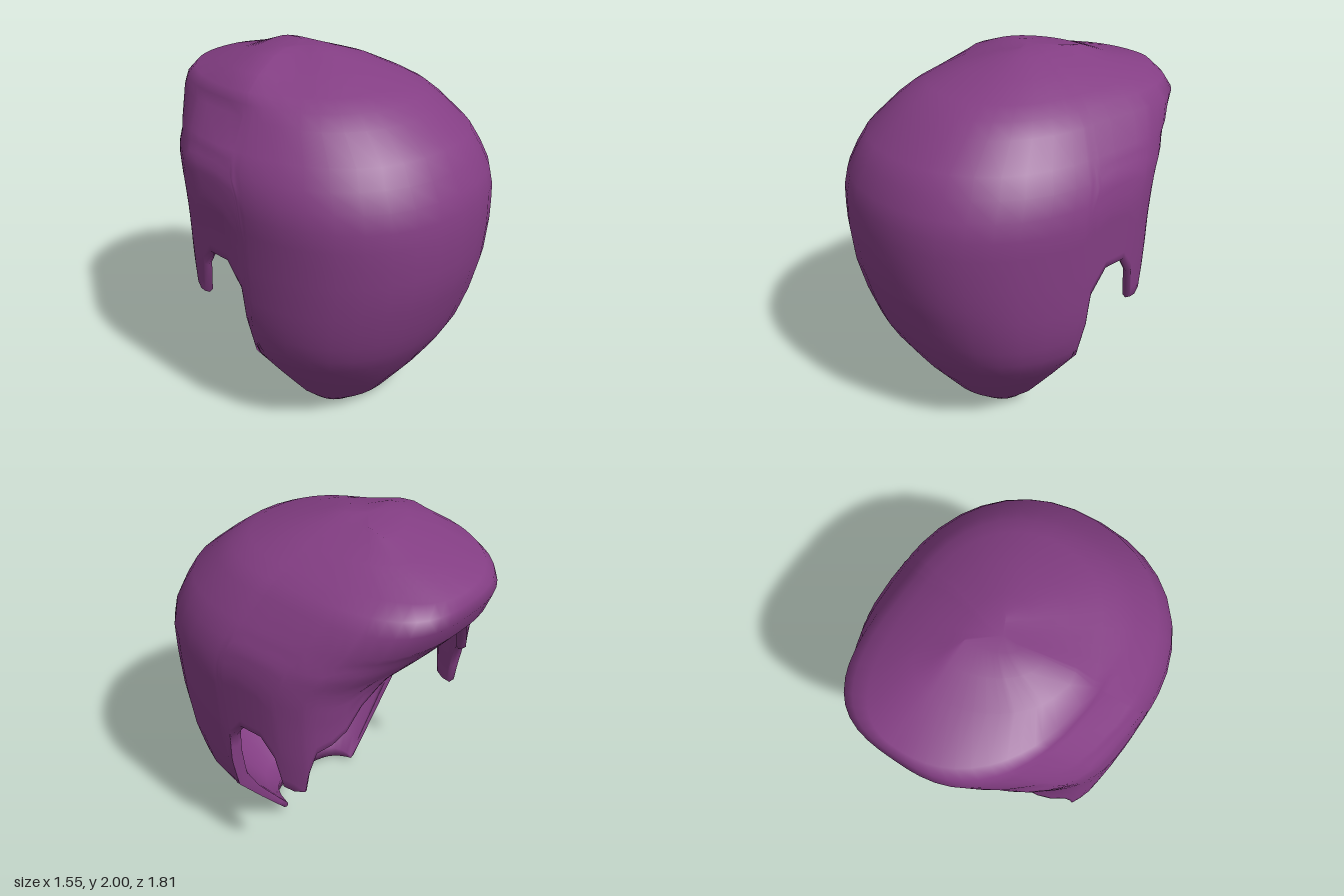
import * as THREE from 'three';
import { mergeVertices } from 'three/addons/utils/BufferGeometryUtils.js';

const { lerp, clamp, smoothstep } = THREE.MathUtils;

// Horizontal sections: y, width at +x, width at -x, back z, fringe z, z of widest point
const SECTIONS = [
  [2.0, 0.03, 0.17, -0.08, -0.3, -0.18],
  [1.985, 0.13, 0.29, 0.02, -0.43, -0.15],
  [1.93, 0.3, 0.45, 0.22, -0.59, -0.1],
  [1.86, 0.44, 0.535, 0.43, -0.87, -0.08],
  [1.81, 0.52, 0.56, 0.53, -0.895, -0.05],
  [1.75, 0.585, 0.575, 0.61, -0.905, -0.03],
  [1.62, 0.68, 0.7, 0.77, -0.845, 0.02],
  [1.5, 0.745, 0.76, 0.84, -0.745, 0.05],
  [1.4, 0.765, 0.77, 0.89, -0.655, 0.09],
  [1.33, 0.772, 0.775, 0.9, -0.625, 0.1],
  [1.16, 0.765, 0.765, 0.907, -0.61, 0.1],
  [0.93, 0.755, 0.755, 0.88, -0.61, 0.1],
  [0.72, 0.74, 0.74, 0.82, -0.61, 0.1],
  [0.5, 0.69, 0.69, 0.735, -0.6, 0.1],
  [0.27, 0.51, 0.51, 0.58, -0.5, 0.1],
  [0.05, 0.33, 0.33, 0.4, -0.4, 0.1],
];

// Columns of one half, from nape (k = -1) to fringe (k = 1), with rim height
const NAPE = [-1, -0.985, -0.94, -0.87, -0.77, -0.64, -0.5, -0.33, -0.17, -0.06];
const SIDE_EDGE = [0.12, 0.2, 0.28, 0.39, 0.5, 0.61, 0.72, 0.82, 0.9];
const HALF = [
  ...NAPE.map((k) => [k, 0.05]),
  ...SIDE_EDGE.map((y, i) => [-0.04 + i * 0.01, y]),
  [0.17, 1.03], [0.37, 1.03], [0.48, 0.92], [0.53, 0.73],
  [0.614, 0.715], [0.69, 0.73], [0.72, 0.86], [0.775, 1.01], [0.85, 1.06],
  [0.905, 1.13], [0.945, 1.27], [0.975, 1.4], [0.992, 1.47], [0.998, 1.5],
  [0.9998, 1.515], [1, 1.52],
];

function sectionAt(y) {
  let i = 0;
  while (i < SECTIONS.length - 2 && SECTIONS[i + 1][0] > y) i++;
  const a = SECTIONS[i], b = SECTIONS[i + 1];
  const t = clamp((a[0] - y) / (a[0] - b[0]), 0, 1);
  return a.map((v, j) => lerp(v, b[j], t));
}

// Squareness of a section: full temples, a dip under the fringe, a round crown
function squareness(k, side, y) {
  if (k < 0) return 2.2;
  const dip = Math.max(0, 1 - Math.abs(y - 1.6) / 0.21) * (side > 0 ? 0.3 : 0.7);
  const base = lerp(3.3, 3, smoothstep(y, 1.3, 1.6)) - dip;
  return lerp(base, 2.1, smoothstep(y, 1.74, 1.92));
}

// Point on the outside of the hair
function outerPoint(k, side, y) {
  const [, wR, wL, zb, zf, c] = sectionAt(y);
  // the parting groove on the -x side fades out toward the nape
  const w = side > 0 ? wR : lerp(wR, wL, smoothstep(k, -0.6, 0.25));
  const n = squareness(k, side, y);
  let x = side * w * Math.pow(Math.max(0, 1 - Math.pow(Math.abs(k), n)), 1 / n);
  if (k > 0) x += 0.07 * k * k * smoothstep(y, 1.5, 1.8);
  const z = k < 0 ? c - k * (zb - c) : c - k * (c - zf);
  return new THREE.Vector3(x, y, z);
}

// Matching point on the hollow inside; locks thin out and the nape is bevelled
function innerPoint(p, k, rim) {
  const edge = k < 0 ? rim + 0.05 * Math.sqrt(-k) : rim;
  const y = edge + (p.y - rim) * (1.89 - edge) / (2 - rim);
  const thin = smoothstep(k, 0.1, 0.4) * (1 - smoothstep(p.y - rim, 0, 0.3));
  const scale = lerp(0.9, 0.94, thin);
  const z = k < 0 ? p.z - 0.1 * k * k : Math.max(p.z * lerp(1, 0.91, k), -0.64);
  return new THREE.Vector3(p.x * scale, y, z);
}

// One column: crown to rim outside, rounded rim, then back up inside
function column(k, rim, side) {
  const ys = SECTIONS.slice(0, 7).map((s) => s[0]);
  const steps = 16;
  for (let i = 1; i <= steps; i++) ys.push(lerp(1.62, rim, i / steps));
  const outside = ys.map((y) => outerPoint(k, side, y));
  const inside = outside.map((p) => innerPoint(p, k, rim)).reverse();
  const edge = outside[outside.length - 1].clone().lerp(inside[0], k < 0 ? 0.8 : 0.6);
  edge.y = rim - (k < 0 ? 0.05 * Math.sqrt(-k) : 0.015);
  const crown = new THREE.Vector3(-0.06, 2, -0.18);
  return [crown, ...outside, edge, ...inside, new THREE.Vector3(-0.06, 1.89, -0.18)];
}

function hairGeometry() {
  const columns = [
    ...HALF.map(([k, rim]) => column(k, rim, 1)),
    ...HALF.slice(1, -1).reverse().map(([k, rim]) => column(k, rim, -1)),
  ];
  const rows = columns[0].length;
  const positions = [], index = [];
  columns.forEach((col) => col.forEach((p) => positions.push(p.x, p.y, p.z)));
  for (let c = 0; c < columns.length; c++) {
    const next = (c + 1) % columns.length;
    for (let r = 0; r < rows - 1; r++) {
      const a = c * rows + r, d = next * rows + r;
      if (r < rows - 2) index.push(a, a + 1, d + 1);
      if (r > 0) index.push(a, d + 1, d);
    }
  }
  const geometry = new THREE.BufferGeometry();
  geometry.setAttribute('position', new THREE.Float32BufferAttribute(positions, 3));
  geometry.setIndex(index);
  const welded = mergeVertices(geometry, 1e-4);
  welded.computeVertexNormals();
  return welded;
}

export function createModel() {
  const purple = new THREE.MeshStandardMaterial({ color: 0x843e84 });
  purple.name = 'purple hair';
  const hair = new THREE.Mesh(hairGeometry(), purple);
  hair.name = 'hairShell';
  const model = new THREE.Group();
  model.name = 'hairpiece';
  model.add(hair);
  return model;
}
